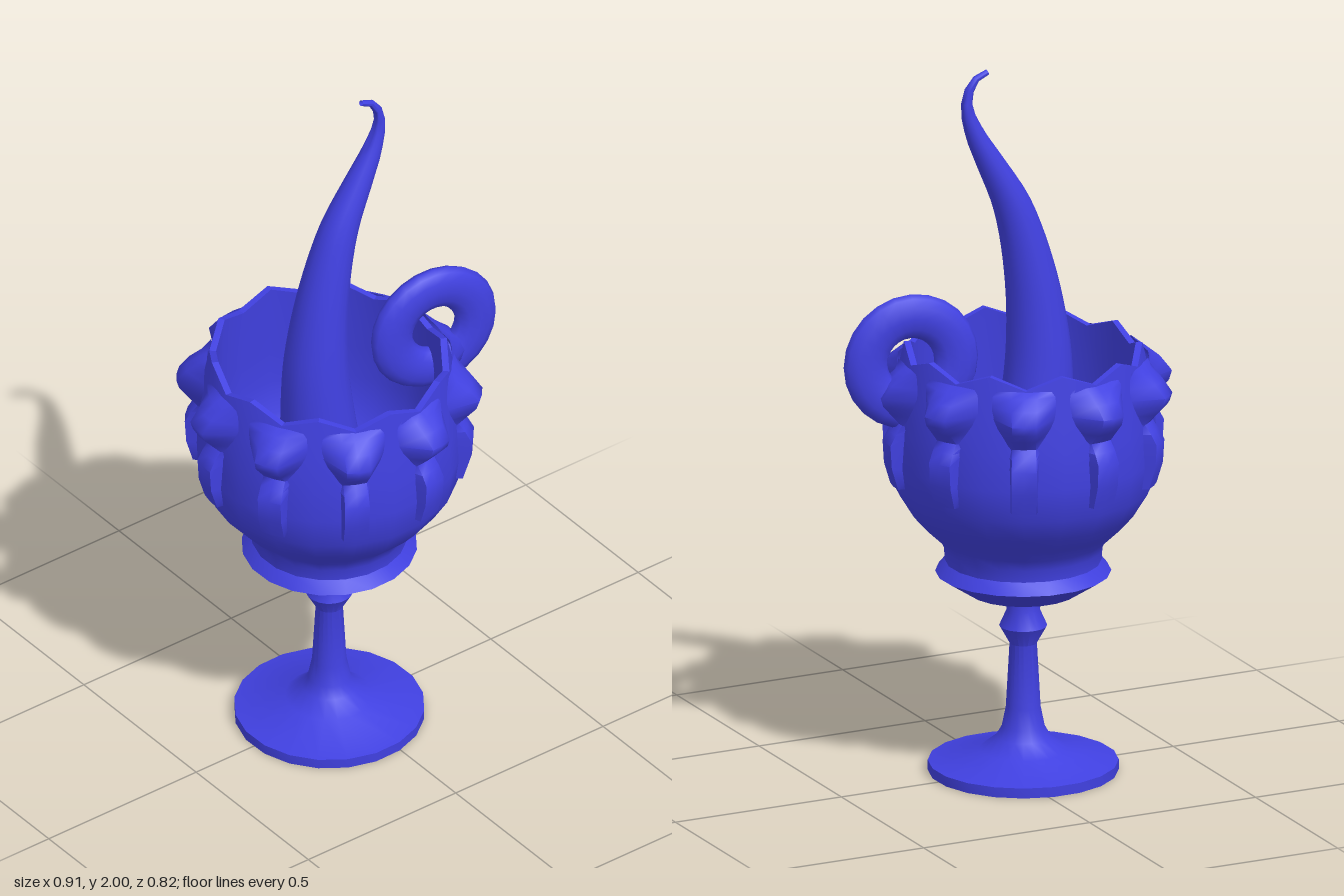
import * as THREE from 'three';
import { toCreasedNormals } from 'three/addons/utils/BufferGeometryUtils.js';

const RAD = Math.PI / 180;
const LOBES = 10, PHASE = 8 * RAD, AXIS_X = -0.048;
const material = new THREE.MeshStandardMaterial({ color: 0x4040e0, side: THREE.DoubleSide });

function part(name, geometry, crease = 0.6) {
  const mesh = new THREE.Mesh(toCreasedNormals(geometry, crease), material);
  mesh.name = name;
  return mesh;
}

function lathe(profile) {
  const points = profile.map(([r, y]) => new THREE.Vector2(r, y));
  return new THREE.LatheGeometry(points, LOBES * 2, Math.PI / 2 - PHASE);
}

// Bowl: round outside, slightly narrower across x at the rim and inside; the rim dips at each lobe
function bowlGeometry() {
  const outside = [
    [0.045, 0.475], [0.15, 0.508], [0.238, 0.565], [0.212, 0.597], [0.214, 0.63],
    [0.228, 0.66], [0.27, 0.7], [0.31, 0.745], [0.35, 0.81], [0.362, 0.9], [0.357, 1.0], [0.347, 1.1],
  ];
  const inside = [
    [0.337, 1.195], [0.318, 1.195], [0.326, 1.0], [0.326, 0.9], [0.313, 0.8], [0.265, 0.72],
    [0.188, 0.65], [0.175, 0.58], [0, 0.56],
  ];
  const rows = outside.length + inside.length;
  const g = lathe([...outside, ...inside]);
  const p = g.attributes.position;
  for (let i = 0; i < p.count; i++) {
    const angle = Math.atan2(p.getZ(i), p.getX(i));
    if (p.getY(i) > 1.15) p.setY(i, p.getY(i) - 0.018 * Math.cos(LOBES * (angle - PHASE)));
    if (i % rows >= outside.length) p.setX(i, p.getX(i) * 0.945);
  }
  return g;
}

// One lobe: a flared crest narrowing into a rib; rows are [y, radius, outer half width, base half width]
function lobeGeometry() {
  const rows = [
    [1.176, 0.332, 0.035, 0.075], [1.162, 0.355, 0.035, 0.085], [1.135, 0.388, 0.035, 0.087],
    [1.1, 0.415, 0.033, 0.085], [1.075, 0.407, 0.033, 0.077], [1.05, 0.385, 0.032, 0.064],
    [1.02, 0.358, 0.032, 0.05], [0.995, 0.376, 0.033, 0.045], [0.965, 0.392, 0.034, 0.042],
    [0.9, 0.388, 0.034, 0.04], [0.84, 0.37, 0.034, 0.038], [0.838, 0.33, 0.034, 0.038],
  ];
  const back = 0.33, columns = 5;
  const positions = [], index = [];
  rows.forEach(([y, r, outer, base], i) => {
    positions.push(-base, y, back, -outer, y, r - 0.003, 0, y, r, outer, y, r - 0.003, base, y, back);
    if (i === rows.length - 1) return;
    for (let j = 0; j < columns - 1; j++) {
      const a = i * columns + j, b = a + columns;
      index.push(a, b, a + 1, a + 1, b, b + 1);
    }
  });
  const g = new THREE.BufferGeometry();
  g.setAttribute('position', new THREE.Float32BufferAttribute(positions, 3));
  g.setIndex(index);
  return g;
}

// Curved horn: a tube whose rings are resized by height
function hornGeometry() {
  const path = new THREE.CatmullRomCurve3([
    [-0.045, 0.57], [-0.068, 0.8], [-0.09, 1.05], [-0.093, 1.2], [-0.07, 1.4], [-0.017, 1.6],
    [0.054, 1.74], [0.096, 1.82], [0.122, 1.9], [0.114, 1.95], [0.088, 1.983], [0.06, 1.993],
  ].map(([x, y]) => new THREE.Vector3(x, y, 0)));
  const radii = [[0.57, 0.18], [0.65, 0.15], [0.85, 0.114], [1.2, 0.088], [1.4, 0.071],
    [1.6, 0.053], [1.74, 0.037], [1.82, 0.027], [1.9, 0.016], [1.96, 0.012], [2.0, 0.007]];
  const radiusAt = (y) => {
    const i = Math.max(1, radii.findIndex(([h]) => h >= y));
    const [y0, r0] = radii[i - 1], [y1, r1] = radii[i];
    return THREE.MathUtils.mapLinear(y, y0, y1, r0, r1);
  };
  const steps = 40, sides = 16;
  const g = new THREE.TubeGeometry(path, steps, 1, sides);
  const p = g.attributes.position, v = new THREE.Vector3();
  for (let i = 0; i <= steps; i++) {
    const centre = path.getPointAt(i / steps);
    for (let j = 0; j <= sides; j++) {
      const k = i * (sides + 1) + j;
      v.fromBufferAttribute(p, k).sub(centre).multiplyScalar(radiusAt(centre.y)).add(centre);
      p.setXYZ(k, v.x, v.y, v.z);
    }
  }
  return g;
}

export function createModel() {
  const model = new THREE.Group();
  model.name = 'goblet';

  // Thin hollow foot and turned stem, open below
  const stem = part('footAndStem', lathe([
    [0.258, 0], [0.258, 0.028], [0.12, 0.06], [0.075, 0.095], [0.058, 0.125], [0.047, 0.18],
    [0.037, 0.36], [0.065, 0.41], [0.045, 0.455], [0.047, 0.49],
  ]));

  // Bowl with collar
  const bowl = part('bowl', bowlGeometry());
  stem.position.x = bowl.position.x = AXIS_X;
  model.add(stem, bowl);

  // Ring of lobes below the rim
  const lobes = new THREE.Group();
  lobes.name = 'lobes';
  lobes.position.x = AXIS_X;
  const lobeShape = lobeGeometry();
  for (let i = 0; i < LOBES; i++) {
    const lobe = part('lobe', lobeShape, 1.2);
    lobe.rotation.y = Math.PI / 2 - PHASE - (i * 2 * Math.PI) / LOBES;
    lobes.add(lobe);
  }
  model.add(lobes);

  // Horn rising from the bowl
  model.add(part('horn', hornGeometry(), 1));

  // Flattened ring hooked over the rim
  const ring = part('rimRing', new THREE.TorusGeometry(0.128, 0.062, 12, 24));
  ring.scale.z = 0.56;
  ring.rotation.y = -9 * RAD;
  ring.position.set(0.264, 1.186, 0.054);
  model.add(ring);

  return model;
}
